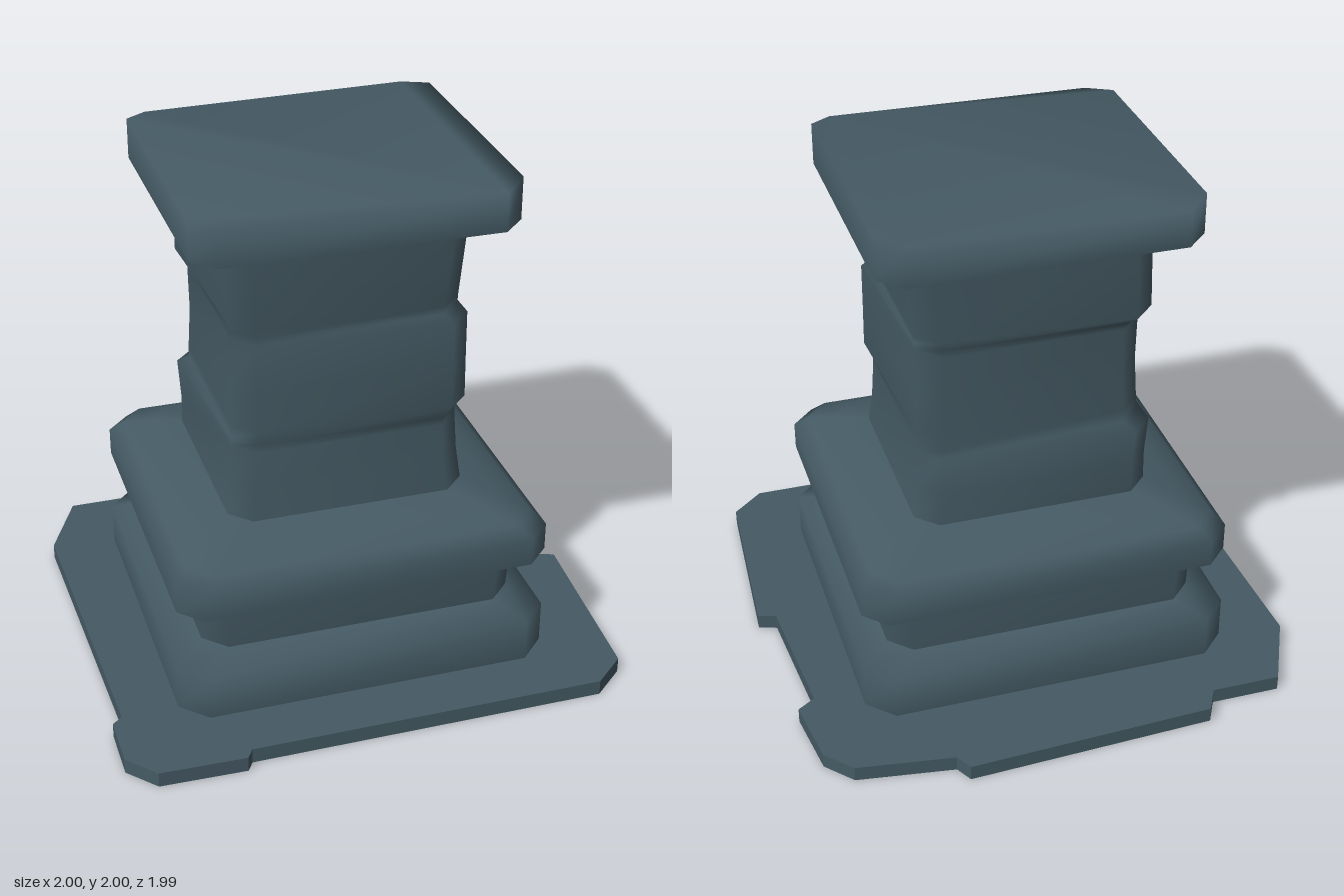
import * as THREE from 'three';

// Eight-point ring: a rectangle with cut corners, counterclockwise from above.
// grow = outward shift of the [front-left, back-left, back-right, front-right] corners.
function ring(y, x0, x1, z0, z1, c, grow = [0, 0, 0, 0]) {
  const [a, b, d, e] = grow;
  return [
    [x1 - c + a, y, z1 + a], [x1 + a, y, z1 - c + a],
    [x1 + b, y, z0 + c - b], [x1 - c + b, y, z0 - b],
    [x0 + c - d, y, z0 - d], [x0 - d, y, z0 + c - d],
    [x0 - e, y, z1 - c + e], [x0 + c - e, y, z1 + e],
  ];
}

// Smooth skin through ascending rings, optionally closed on top.
function loft(rings, closed = false) {
  const n = 8, pos = rings.flat(2), idx = [];
  for (let r = 0; r < rings.length - 1; r++) {
    for (let i = 0; i < n; i++) {
      const j = (i + 1) % n, a = r * n, b = a + n;
      idx.push(a + i, a + j, b + j, a + i, b + j, b + i);
    }
  }
  if (closed) {
    const top = (rings.length - 1) * n;
    for (let i = 1; i < n - 1; i++) idx.push(top, top + i, top + i + 1);
  }
  const g = new THREE.BufferGeometry();
  g.setAttribute('position', new THREE.Float32BufferAttribute(pos, 3));
  g.setIndex(idx);
  g.computeVertexNormals();
  return g;
}

export function createModel() {
  const group = new THREE.Group();
  const stone = new THREE.MeshStandardMaterial({ color: 0x455a64, side: THREE.DoubleSide });
  stone.name = 'slate stone';
  const add = (name, geometry) => {
    const mesh = new THREE.Mesh(geometry, stone);
    mesh.name = name;
    group.add(mesh);
  };

  // Broken ground slab, open under the hollow plinth
  const outline = [
    [-1, -0.58], [-0.865, -0.865], [-0.595, -0.865], [-0.545, -0.96], [0.42, -1],
    [0.455, -0.935], [0.83, -0.88], [0.925, -0.775], [0.96, -0.505], [0.89, -0.46],
    [0.93, 0.075], [1, 0.1], [0.955, 0.84], [0.83, 0.95], [-0.545, 0.95],
    [-0.57, 0.99], [-0.9, 0.98], [-1, 0.87], [-1, 0.66], [-0.96, 0.63],
  ];
  const slab = new THREE.Shape(outline.map(([x, z]) => new THREE.Vector2(x, -z)));
  const foot = ring(0.06, -0.745, 0.71, -0.65, 0.73, 0.1);
  slab.holes.push(new THREE.Path(foot.map(([x, , z]) => new THREE.Vector2(x, -z))));
  add('groundSlab', new THREE.ExtrudeGeometry(slab, { depth: 0.06, bevelEnabled: false }).rotateX(-Math.PI / 2));

  // Plinth with a sloped shoulder
  const neckFoot = ring(0.28, -0.625, 0.597, -0.55, 0.615, 0.085);
  const neckTop = ring(0.47, -0.635, 0.61, -0.55, 0.62, 0.085);
  add('plinth', loft([foot, ring(0.23, -0.745, 0.71, -0.65, 0.73, 0.1), neckFoot]));
  add('neck', loft([neckFoot, neckTop]));

  // Rounded moulding
  const lip = ring(0.49, -0.737, 0.707, -0.64, 0.722, 0.09);
  const shaftFoot = ring(0.725, -0.48, 0.44, -0.4, 0.48, 0.08);
  add('mouldingUnderside', loft([neckTop, lip]));
  add('moulding', loft([
    lip,
    ring(0.6, -0.737, 0.707, -0.64, 0.722, 0.09),
    ring(0.65, -0.69, 0.655, -0.6, 0.68, 0.09),
    ring(0.695, -0.59, 0.55, -0.505, 0.585, 0.085),
    shaftFoot,
  ]));

  // Waisted shaft, chipped on two opposite corners: [y, x0, x1, z0, z1, front-left shift, back-right shift]
  const shaftRows = [
    [0.85, -0.465, 0.425, -0.383, 0.465, 0, 0.015],
    [1.0, -0.455, 0.415, -0.37, 0.455, 0.002, 0.035],
    [1.03, -0.45, 0.413, -0.368, 0.452, 0.005, 0],
    [1.08, -0.45, 0.412, -0.366, 0.45, 0.033, 0],
    [1.25, -0.447, 0.41, -0.363, 0.447, 0.034, -0.005],
    [1.43, -0.445, 0.41, -0.361, 0.445, 0.034, 0],
    [1.46, -0.446, 0.411, -0.361, 0.446, 0.004, 0.01],
    [1.49, -0.448, 0.413, -0.363, 0.448, 0.003, 0.035],
    [1.8, -0.472, 0.44, -0.388, 0.47, 0, 0.005],
  ];
  const shaftRings = shaftRows.map(([y, x0, x1, z0, z1, p, q]) => ring(y, x0, x1, z0, z1, 0.08, [p, 0, q, 0]));
  add('shaft', loft([shaftFoot, ...shaftRings]));

  // Cap slab with a slightly tilted top
  const capFoot = ring(1.83, -0.62, 0.585, -0.535, 0.608, 0.088);
  const capTop = capFoot.map(([x, , z]) => {
    const edge = z > 0.6 || z < -0.53 ? 0.016 : 0;
    return [x, 1.99 + 0.012 * x - 0.008 * z - edge, z];
  });
  add('capUnderside', loft([shaftRings[shaftRings.length - 1], capFoot]));
  add('cap', loft([capFoot, capTop], true));

  return group;
}
